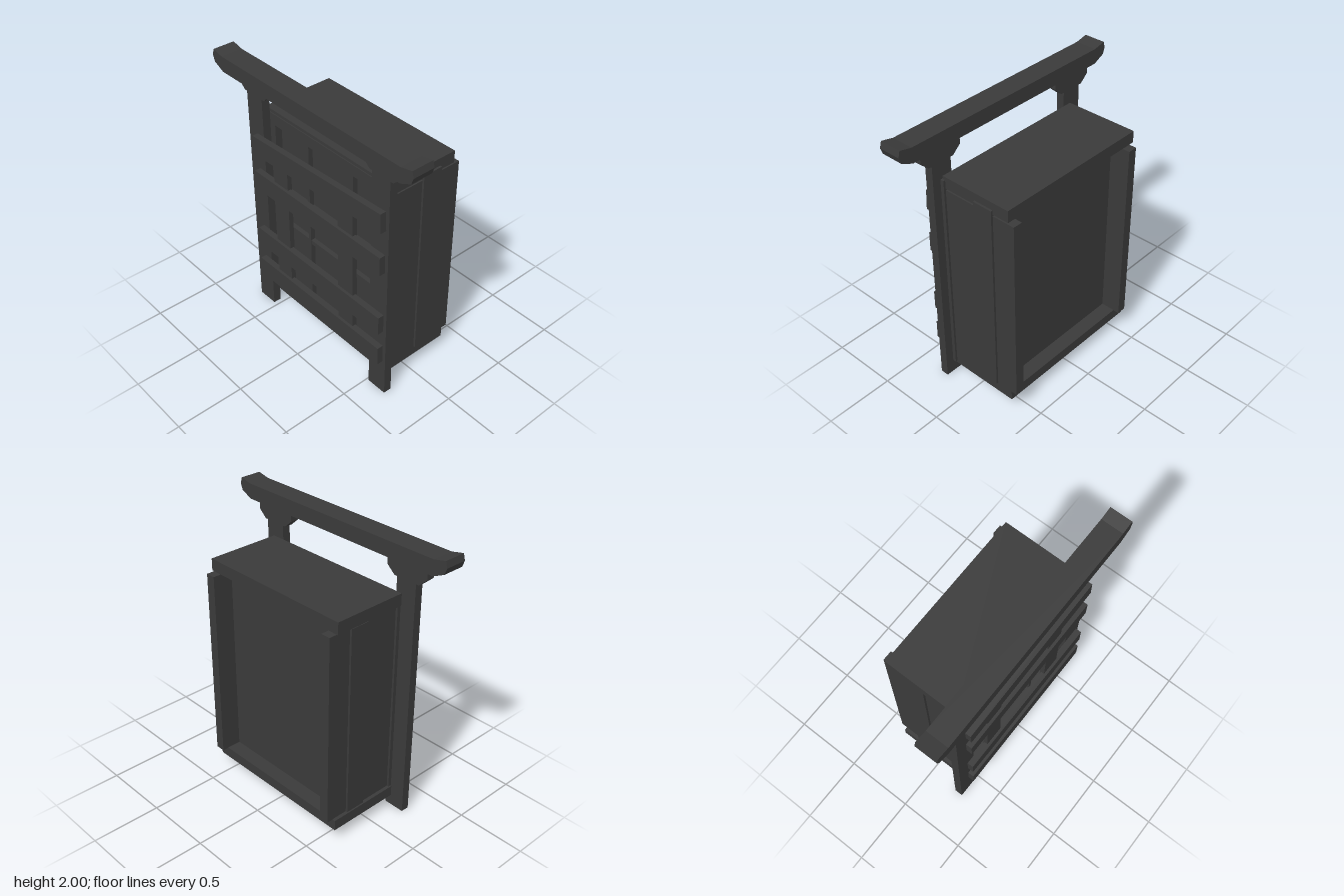
import * as THREE from 'three';

export function createModel() {
  const root = new THREE.Group();
  const mat = new THREE.MeshStandardMaterial({ color: 0x3a3a3a, flatShading: true });

  function add(name, geometry, parent = root) {
    const mesh = new THREE.Mesh(geometry, mat);
    mesh.name = name;
    parent.add(mesh);
    return mesh;
  }
  // Box given by its extents along each axis
  function slab(name, [x0, x1], [y0, y1], [z0, z1], parent) {
    const mesh = add(name, new THREE.BoxGeometry(x1 - x0, y1 - y0, z1 - z0), parent);
    mesh.position.set((x0 + x1) / 2, (y0 + y1) / 2, (z0 + z1) / 2);
    return mesh;
  }
  // Front outline extruded between two depths
  function profile(name, points, z0, z1, parent) {
    const shape = new THREE.Shape(points.map(([x, y]) => new THREE.Vector2(x, y)));
    const geometry = new THREE.ExtrudeGeometry(shape, { depth: z1 - z0, bevelEnabled: false });
    return add(name, geometry.translate(0, 0, z0), parent);
  }
  function group(name) {
    const g = new THREE.Group();
    g.name = name;
    root.add(g);
    return g;
  }

  // Gate posts with bevelled brackets
  const gate = group('gate');
  for (const [side, x0, x1] of [['right', -0.69, -0.535], ['left', 0.517, 0.673]]) {
    slab(side + 'Post', [x0, x1], [0, 1.87], [0.23, 0.29], gate);
    const c = (x0 + x1) / 2;
    for (const s of [-1, 1]) {
      const inner = c + s * 0.077;
      const pts = [[inner, 1.76], [c + s * 0.1, 1.76], [c + s * 0.162, 1.815], [c + s * 0.162, 1.87], [inner, 1.87]];
      profile(side + 'Bracket', pts, 0.23, 0.29, gate);
    }
  }

  // Upturned top beam
  const end = [[0.83, 1.87], [0.915, 1.91], [0.932, 1.955], [0.92, 2.0], [0.83, 1.98]];
  const mirrored = end.map(([x, y]) => [-x, y]).reverse();
  profile('topBeam', [...end, ...mirrored], 0.21, 0.37, gate);

  // Cabinet carcass, open at the back
  const cabinet = group('cabinet');
  slab('topBoard', [-0.59, 0.6], [1.579, 1.665], [-0.325, 0.22], cabinet);
  slab('bottomBoard', [-0.59, 0.6], [0.09, 0.168], [-0.325, 0.22], cabinet);
  slab('rightSide', [-0.565, -0.495], [0.165, 1.568], [-0.37, 0.215], cabinet);
  slab('leftSide', [0.53, 0.6], [0.165, 1.568], [-0.37, 0.215], cabinet);
  slab('rightSideStrip', [-0.58, -0.56], [0.165, 1.568], [-0.2, -0.05], cabinet);
  slab('leftSideStrip', [0.595, 0.615], [0.165, 1.61], [-0.2, -0.05], cabinet);
  slab('backPanel', [-0.5, 0.535], [0.165, 1.568], [-0.22, -0.19], cabinet);

  // Front frame and lattice
  const screen = group('latticeScreen');
  for (const [x0, x1] of [[-0.58, -0.49], [0.525, 0.615]]) {
    slab('screenStile', [x0, x1], [0.105, 1.642], [0.2, 0.226], screen);
  }
  for (const [y0, y1] of [[0.105, 0.19], [1.56, 1.642]]) {
    slab('screenRail', [-0.49, 0.525], [y0, y1], [0.2, 0.226], screen);
  }
  for (const x of [-0.188, 0.245]) {
    slab('latticeUpright', [x - 0.012, x + 0.012], [0.18, 1.568], [0.17, 0.205], screen);
  }
  for (let i = 0; i < 4; i++) {
    const y = 0.465 + i * 0.29;
    slab('latticeBar', [-0.495, 0.53], [y - 0.016, y + 0.016], [0.17, 0.203], screen);
  }
  slab('screenPanel', [-0.495, 0.53], [0.168, 1.568], [0.155, 0.17], screen);

  // Boards nailed across the front
  const barricade = group('barricade');
  for (const x of [-0.34, 0.305]) {
    slab('verticalBatten', [x - 0.072, x + 0.072], [0.33, 1.385], [0.28, 0.315], barricade);
  }
  for (const [y, tilt] of [[0.354, 0.005], [0.629, 0], [1.124, 0.004], [1.43, 0.046]]) {
    slab('crossPlank', [-0.6, 0.647], [y - 0.071, y + 0.071], [0.29, 0.335], barricade).rotation.z = tilt;
  }
  return root;
}
